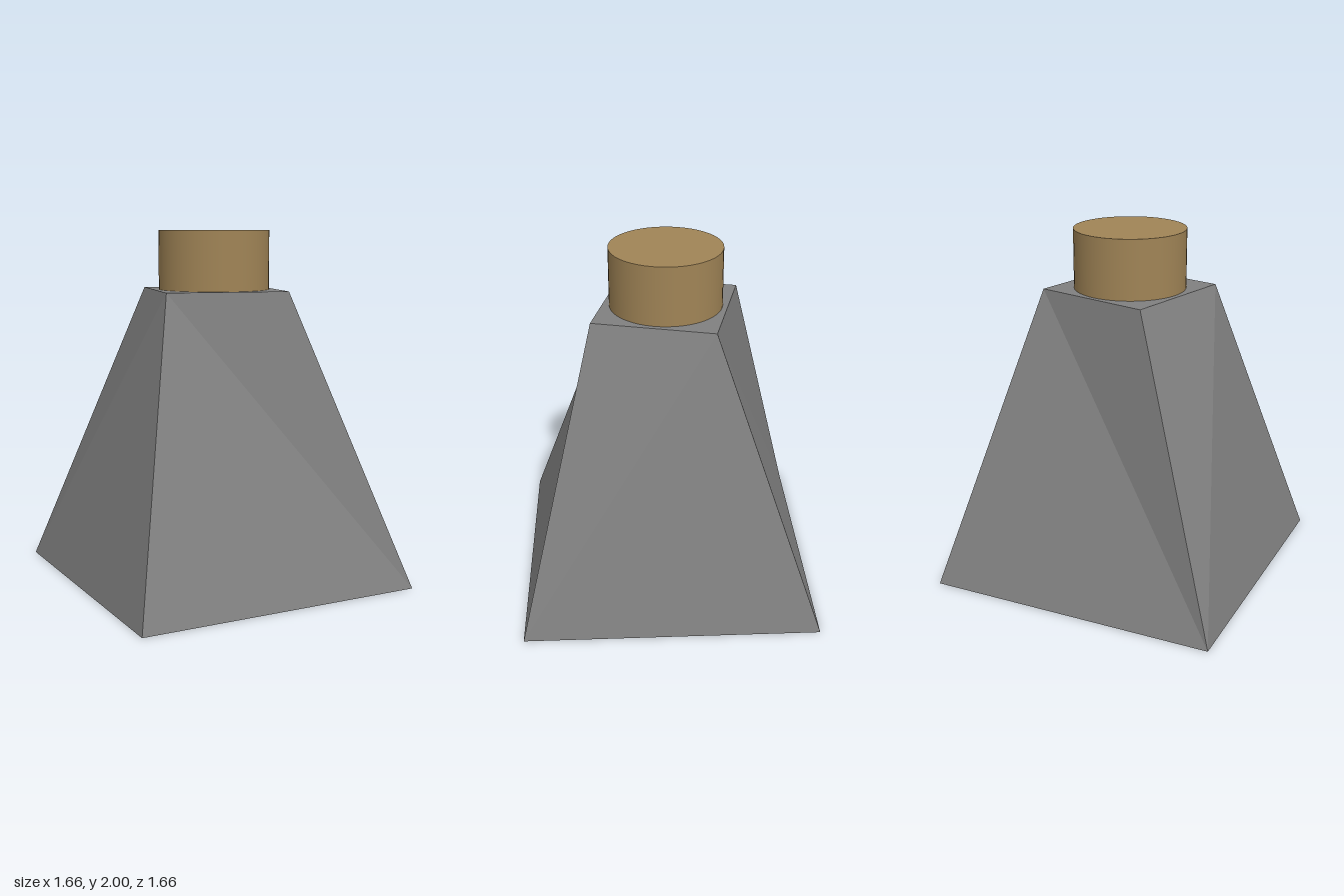
import * as THREE from 'three';

const BASE = 0.831, HEIGHT = 1.665, PANEL = 0.665;

function flatGeometry(triangles) {
  const geometry = new THREE.BufferGeometry();
  geometry.setAttribute('position', new THREE.Float32BufferAttribute(triangles.flat(2), 3));
  geometry.computeVertexNormals();
  return geometry;
}

export function createModel() {
  const model = new THREE.Group();
  model.name = 'weight';
  const stone = new THREE.MeshStandardMaterial({ name: 'grey', color: 0x808080 });
  const brass = new THREE.MeshStandardMaterial({ name: 'brass', color: 0xa08456 });
  const red = new THREE.MeshStandardMaterial({ name: 'dark red', color: 0x8e0808 });

  const add = (name, geometry, material, y = 0) => {
    const mesh = new THREE.Mesh(geometry, material);
    mesh.name = name;
    mesh.position.y = y;
    model.add(mesh);
  };

  // Corner rings, counter-clockwise seen from above: front left, front right, back right, back left
  const bottom = [[-1, 1], [1, 1], [1, -1], [-1, -1]].map(([x, z]) => [x * BASE, 0, z * BASE]);
  const top = [[-0.416, 0.25], [0.25, 0.416], [0.416, -0.25], [-0.25, -0.416]].map(([x, z]) => [x, HEIGHT, z]);

  // Twisted tapering sides, each folded along a diagonal that alternates in direction
  const triangles = [];
  for (let i = 0; i < 4; i++) {
    const j = (i + 1) % 4;
    const [a, b, c, d] = [bottom[i], bottom[j], top[j], top[i]];
    if (i % 2 === 0) triangles.push([a, b, d], [b, c, d]);
    else triangles.push([a, b, c], [a, c, d]);
  }
  // Flat shoulder
  triangles.push([top[0], top[1], top[2]], [top[0], top[2], top[3]]);
  add('body', flatGeometry(triangles), stone);

  // Underside rim around the square panel
  const square = (s) => [[-s, -s], [s, -s], [s, s], [-s, s]].map(([x, y]) => new THREE.Vector2(x, y));
  const rim = new THREE.Shape(square(BASE));
  rim.holes.push(new THREE.Path(square(PANEL)));
  add('undersideRim', new THREE.ShapeGeometry(rim).rotateX(Math.PI / 2), stone);
  add('undersidePanel', new THREE.PlaneGeometry(PANEL * 2, PANEL * 2).rotateX(Math.PI / 2), red);

  // Round knob
  add('knob', new THREE.CylinderGeometry(0.315, 0.315, 2 - HEIGHT, 48), brass, (2 + HEIGHT) / 2);

  return model;
}
